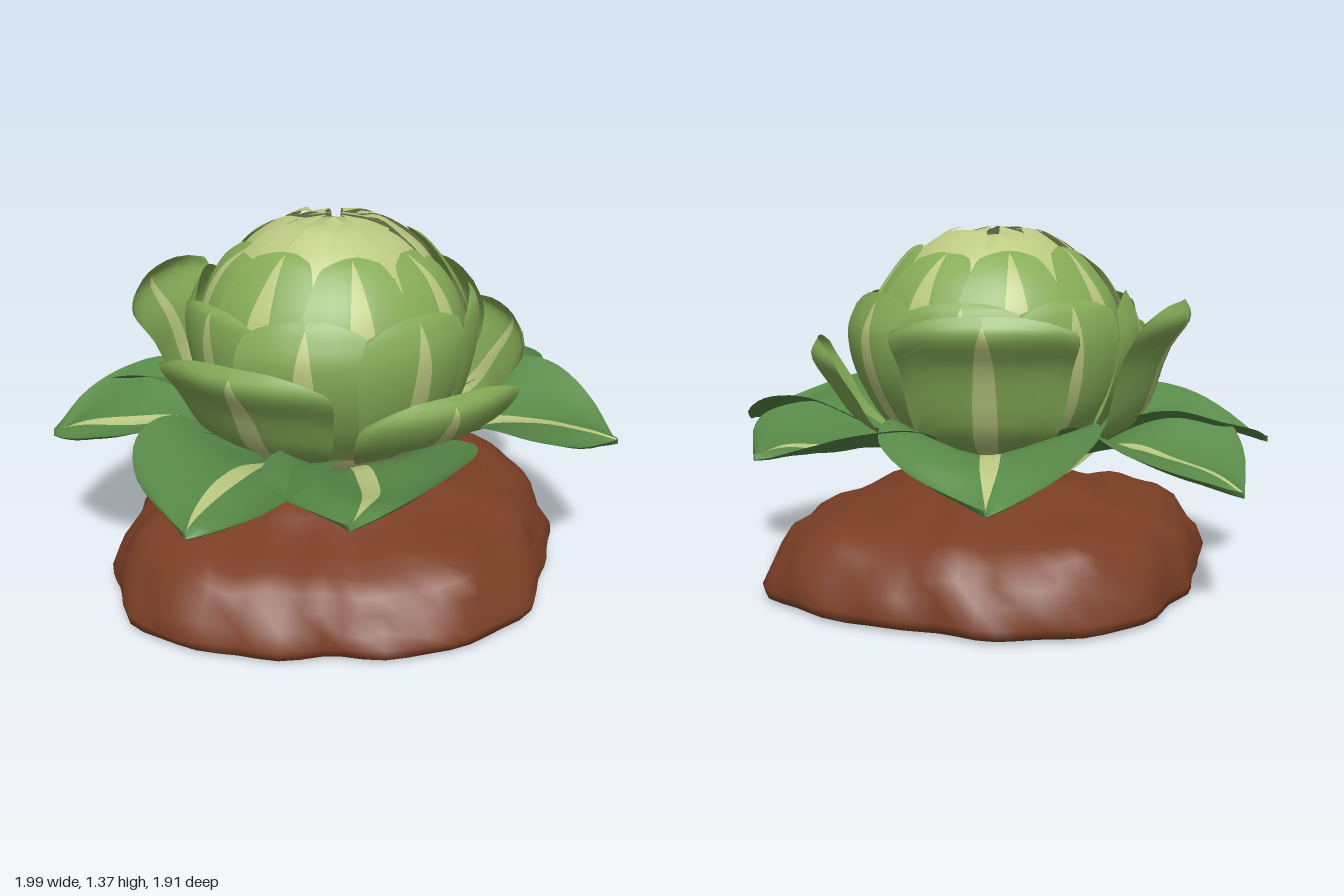
import * as THREE from 'three';
import { mergeVertices } from 'three/addons/utils/BufferGeometryUtils.js';

const mat = (name, color) => new THREE.MeshStandardMaterial({ name, color, side: THREE.DoubleSide });
const rad = THREE.MathUtils.degToRad;

// One petal or leaf. Path points are [radius, height, half width];
// "wrap" petals follow the round bulb (half width in radians), others stay straight.
function petalGeometry({ path, angle, wrap = true, round = 0, cup = 0, skew = 0, lap = 0,
  stripe = 0, stripeEnd = 1, paleBase = 0, rows = 18 }) {
  const curve = new THREE.CatmullRomCurve3(path.map(p => new THREE.Vector3(...p)));
  const stripeAt = v => Math.max(0.004, stripe * (1 - (v / stripeEnd) ** 2 * (wrap ? 1 : 0.6)));
  const pos = [], green = [], pale = [], cols = 11;
  for (let j = 0; j <= rows; j++) {
    const v = j / rows, s = stripeAt(v);
    for (const u of [-1, -0.8, -0.55, -0.3, -s, 0, s, 0.3, 0.55, 0.8, 1]) {
      const p = curve.getPoint(v * (1 - round * u ** 4));
      const r = p.x + lap * u, w = Math.max(p.z, 0.002) * u;
      if (wrap) {
        pos.push(r * Math.cos(angle + w), p.y, r * Math.sin(angle + w));
      } else {
        const side = w + skew * v ** 3;
        const y = p.y + cup * u * u * Math.sin(Math.PI * Math.min(1, v * 1.02)) + 0.012 * Math.sin(9 * v + 5 * u);
        pos.push(r * Math.cos(angle) - side * Math.sin(angle), y, r * Math.sin(angle) + side * Math.cos(angle));
      }
    }
  }
  for (let j = 0; j < rows; j++) for (let i = 0; i < cols - 1; i++) {
    const a = j * cols + i, b = a + cols, v = (j + 0.5) / rows;
    const isPale = v < paleBase || ((i === 4 || i === 5) && stripeAt(v) > 0.005);
    (isPale ? pale : green).push(a, b, a + 1, a + 1, b, b + 1);
  }
  const g = new THREE.BufferGeometry();
  g.setAttribute('position', new THREE.Float32BufferAttribute(pos, 3));
  g.setIndex([...green, ...pale]);
  g.addGroup(0, green.length, 0);
  g.addGroup(green.length, pale.length, 1);
  g.computeVertexNormals();
  return g;
}

// Irregular mound of earth with a flat underside
function soilGeometry() {
  const profile = [[0, 0], [0.5, 0], [0.95, 0], [0.99, 0.015], [1, 0.05], [0.97, 0.11], [0.93, 0.17], [0.88, 0.23],
    [0.8, 0.27], [0.69, 0.29], [0.57, 0.305], [0.48, 0.33], [0.41, 0.365], [0.25, 0.375], [0.1, 0.375], [0, 0.375]];
  let g = new THREE.LatheGeometry(profile.map(p => new THREE.Vector2(...p)), 72);
  const p = g.attributes.position;
  for (let i = 0; i < p.count; i++) {
    const x = p.getX(i), y = p.getY(i), z = p.getZ(i), a = Math.atan2(z, x), s2 = Math.sin(2 * a);
    const outline = 1 - 0.085 * s2 * s2 + 0.035 * s2 * (Math.sin(a) + Math.cos(a));
    const lump = 1 + 0.012 * Math.sin(5 * a + 1) + 0.012 * Math.sin(11 * a + y * 14) + 0.01 * Math.sin(17 * a - y * 22);
    const h = y > 0.1 ? 0.016 * Math.sin(x * 9 + 1) * Math.cos(z * 8) + 0.008 * Math.sin(x * 19 + z * 15) - 0.02 * z : 0;
    p.setXYZ(i, -0.07 + x * 0.925 * outline * lump, y + h, 0.045 + z * 0.865 * outline * lump);
  }
  g.deleteAttribute('uv');
  g.deleteAttribute('normal');
  g = mergeVertices(g, 1e-4);
  g.computeVertexNormals();
  return g;
}

export function createModel() {
  const soil = mat('soil brown', 0x7b3e25);
  const leafGreen = mat('leaf green', 0x588a48);
  const petalGreen = mat('petal green', 0x86ac57);
  const pale = mat('pale green', 0xbcca82);
  const model = new THREE.Group();
  model.name = 'plant';
  const add = (parent, name, geometry, material) => {
    const mesh = new THREE.Mesh(geometry, material);
    mesh.name = name;
    parent.add(mesh);
  };
  add(model, 'soilMound', soilGeometry(), soil);

  const plant = new THREE.Group();
  plant.name = 'flower';
  plant.position.set(-0.05, 0, 0.025);
  model.add(plant);
  const bulb = new THREE.Group();
  bulb.name = 'bulb';
  bulb.position.set(-0.01, 0, 0.02);
  plant.add(bulb);

  // Solid heart behind the petals, and its pale foot
  const lathe = pts => new THREE.LatheGeometry(pts.map(p => new THREE.Vector2(...p)), 40);
  add(plant, 'bulbFoot', lathe([[0, 0.355], [0.12, 0.355], [0.22, 0.4], [0.3, 0.45], [0.36, 0.5], [0.4, 0.56]]), pale);
  add(bulb, 'bulbCore', lathe([[0.38, 0.6], [0.44, 0.75], [0.455, 0.92], [0.41, 1.08], [0.32, 1.2]]), petalGreen);
  add(bulb, 'bulbCrown', lathe([[0.32, 1.2], [0.22, 1.28], [0.12, 1.325], [0, 1.335]]), pale);

  // Pale scales around the foot
  for (let i = 0; i < 16; i++) add(plant, 'footScale', petalGeometry({
    angle: i / 16 * Math.PI * 2, lap: 0.012, rows: 8, paleBase: 2,
    path: [[0.13, 0.355, 0.2], [0.23, 0.395, 0.23], [0.31, 0.445, 0.23], [0.385, 0.51, 0.2]],
  }), [petalGreen, pale]);

  // Large spreading leaves: angle, length, tip height, sideways bend
  const leaves = [[-112, 1.06, 0.47, 0], [-57, 1.03, 0.51, 0], [-6, 1.04, 0.6, 0], [48, 1.08, 0.57, 0],
    [111, 1.06, 0.67, 0.2], [153, 1.1, 0.6, -0.08], [-154, 1.07, 0.53, 0.06]];
  leaves.forEach(([deg, len, tip, skew], i) => {
    const lift = (i % 2) * 0.025;
    add(plant, 'leaf', petalGeometry({
      angle: rad(deg), wrap: false, cup: 0.11, skew, stripe: 0.115, rows: 24,
      path: [[0.2, 0.41, 0.11], [0.32, 0.48, 0.19], [0.47, 0.555, 0.28], [0.63, 0.595 + lift, 0.355],
        [0.79, 0.6 + lift + (tip - 0.58) * 0.35, 0.36], [len * 0.88, 0.6 + (tip - 0.58) * 0.7, 0.245], [len, tip, 0.005]],
    }), [leafGreen, pale]);
  });

  // Open outer petals with rims curling in: angle, half width, widest radius, rim height
  const outer = [[92, 0.45, 0.765, 0.91], [22, 0.49, 0.715, 0.95], [-55, 0.45, 0.735, 1.09],
    [-129, 0.49, 0.74, 1.1], [152, 0.47, 0.735, 1.01]];
  for (const [deg, w, r, top] of outer) add(plant, 'outerPetal', petalGeometry({
    angle: rad(deg), round: 0.16, stripe: 0.21, stripeEnd: 0.9, paleBase: 0.22,
    path: [[0.25, 0.45, w * 0.6], [0.43, 0.56, w * 0.85], [0.57, 0.66, w], [r - 0.075, top - 0.19, w * 1.04],
      [r, top - 0.07, w], [r - 0.025, top, w * 0.78]],
  }), [petalGreen, pale]);

  // Closed bulb petals in two overlapping rings
  for (let i = 0; i < 8; i++) {
    const wob = 0.012 * Math.sin(i * 2.4), a = Math.PI / 2 + i * Math.PI / 4;
    add(bulb, 'lowerBulbPetal', petalGeometry({
      angle: a, round: 0.18, lap: 0.014, stripe: 0.2, stripeEnd: 0.9,
      path: [[0.38, 0.56, 0.36], [0.48, 0.7, 0.42], [0.535 + wob, 0.85, 0.45], [0.55 + wob, 0.98, 0.45],
        [0.53, 1.07, 0.4], [0.5, 1.12 + wob, 0.27]],
    }), [petalGreen, pale]);
    add(bulb, 'upperBulbPetal', petalGeometry({
      angle: a + Math.PI / 8, round: 0.16, lap: 0.012, stripe: 0.24, stripeEnd: 0.97,
      path: [[0.47, 0.82, 0.42], [0.495, 0.97, 0.43], [0.467, 1.09, 0.44], [0.405, 1.19, 0.4],
        [0.34, 1.255 + wob, 0.34], [0.29, 1.285 + wob, 0.2]],
    }), [petalGreen, pale]);
  }

  // Pale pointed crown folding in to the middle
  for (let i = 0; i < 10; i++) {
    const a = i / 10 * Math.PI * 2 + 0.08 * Math.sin(i * 3), h = 0.008 * Math.sin(i * 2.1);
    add(bulb, 'crownPetal', petalGeometry({
      angle: a, lap: 0.01, paleBase: 2, rows: 12,
      path: [[0.39, 1.15, 0.3], [0.335, 1.235, 0.32], [0.26, 1.3, 0.32], [0.18, 1.345 + h, 0.26], [0.1, 1.352 + h, 0.05]],
    }), [petalGreen, pale]);
    if (i % 2) add(bulb, 'crownTip', petalGeometry({
      angle: a + 0.3, paleBase: 2, rows: 8,
      path: [[0.2, 1.31, 0.4], [0.13, 1.34, 0.42], [0.07, 1.355, 0.35], [0.03, 1.365, 0.1]],
    }), [petalGreen, pale]);
  }
  return model;
}
